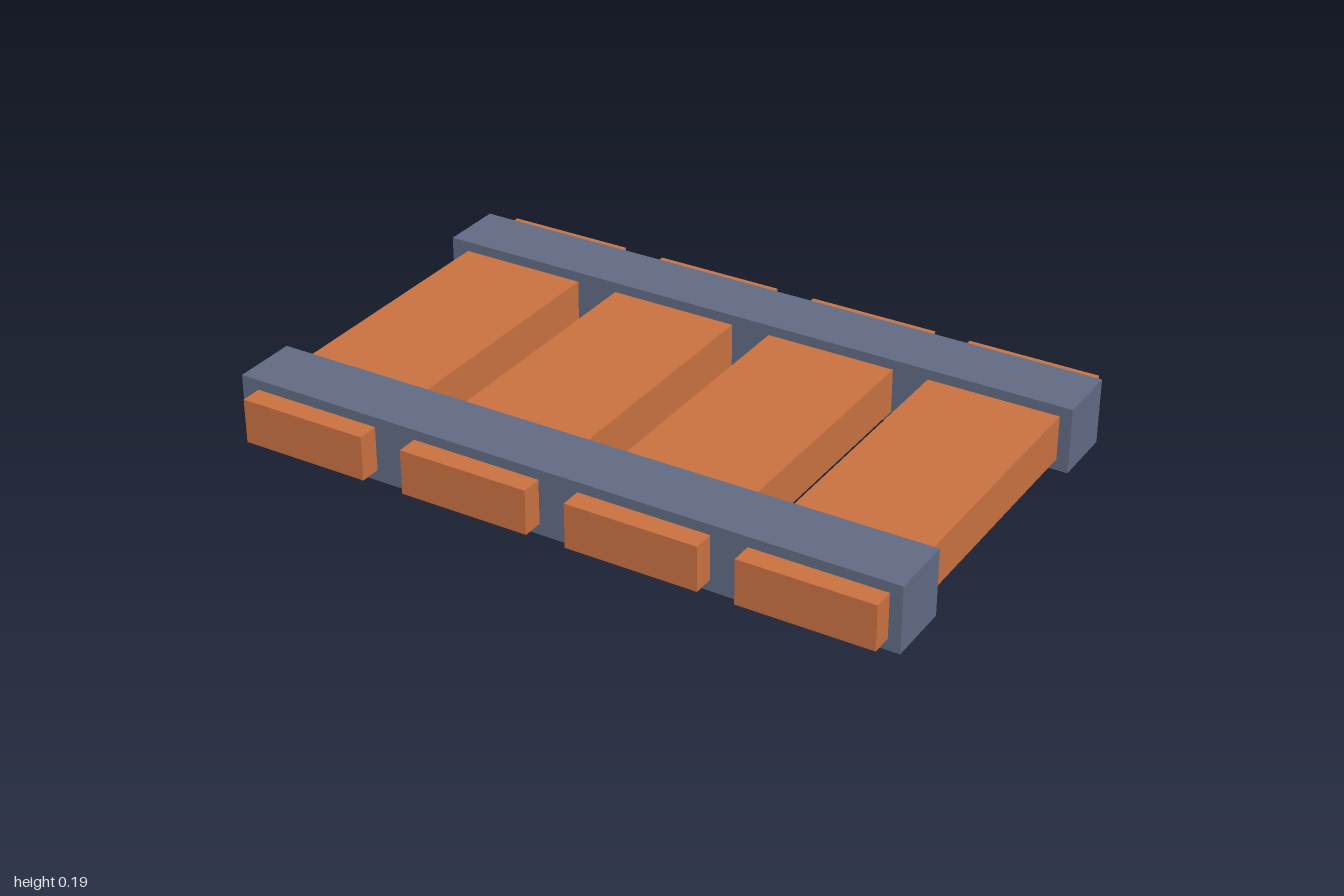
import * as THREE from 'three';

export function createModel() {
  const model = new THREE.Group();
  model.name = 'slattedPanel';

  const slate = new THREE.MeshStandardMaterial({ color: 0x606a82 });
  slate.name = 'slate blue';
  const orange = new THREE.MeshStandardMaterial({ color: 0xc87141 });
  orange.name = 'burnt orange';

  const addBox = (name, material, size, position) => {
    const mesh = new THREE.Mesh(new THREE.BoxGeometry(...size), material);
    mesh.name = name;
    mesh.position.set(...position);
    model.add(mesh);
  };

  // Two long rails resting on the ground
  addBox('frontRail', slate, [2, 0.195, 0.194], [0, 0.0975, 0.495]);
  addBox('backRail', slate, [2, 0.195, 0.194], [0, 0.0975, -0.491]);

  // Four wide slats passing through both rails, slightly unevenly spaced
  [-0.751, -0.234, 0.274, 0.77].forEach((x, i) => {
    addBox(`slat${i + 1}`, orange, [0.39, 0.132, 1.31], [x, 0.099, 0]);
  });

  return model;
}
